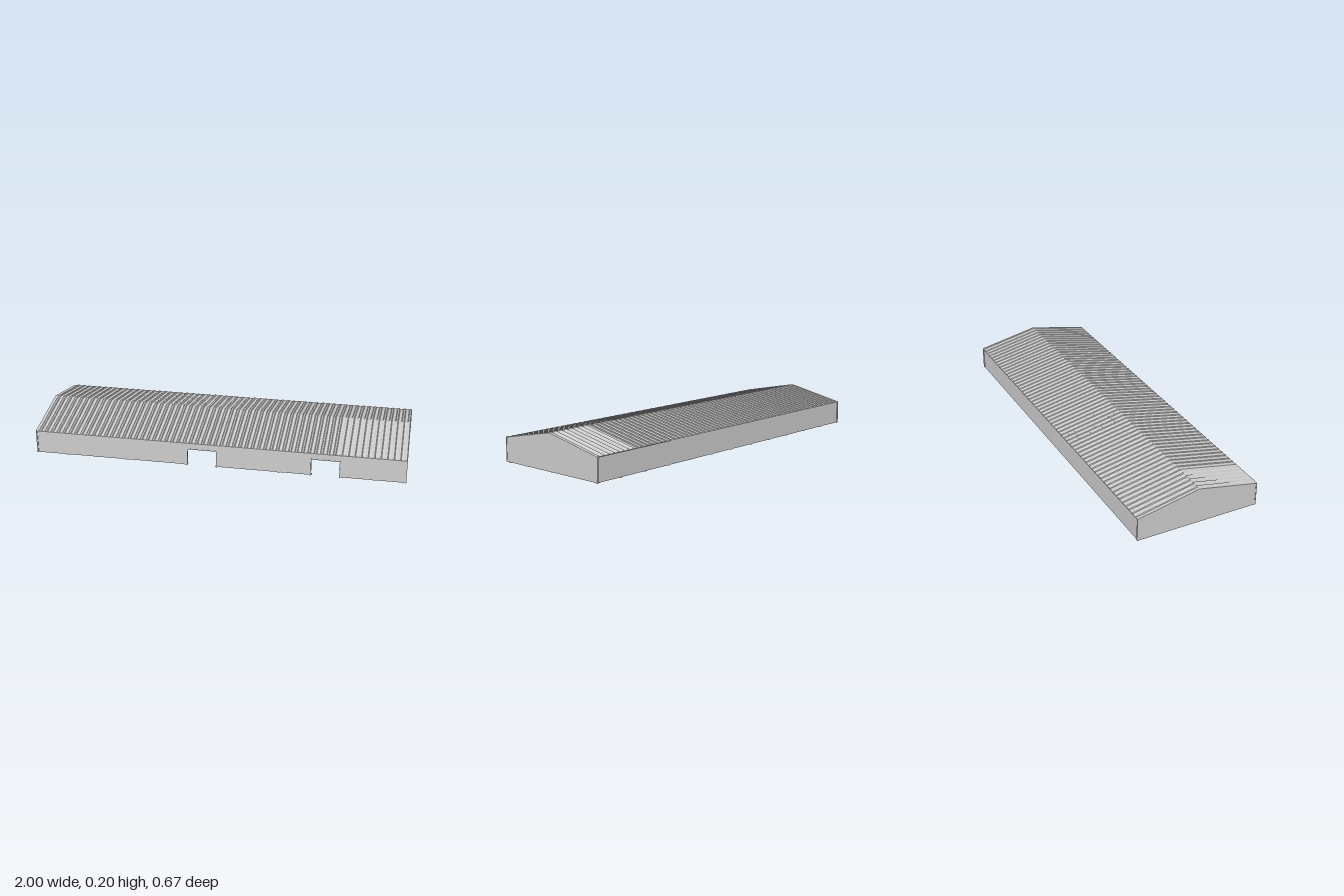
import * as THREE from 'three';

const HALF_X = 1, HALF_Z = 0.337, WALL_Z = 0.331;
const EAVE = 0.131, RIDGE = 0.2, BASE = 0.004;
const DOORS = [[-0.16, 0], [0.5, 0.655]], DOOR_TOP = 0.095;
const BAY = 1 / 6, GABLE_POSTS = [-0.17, 0, 0.17];

const grey = new THREE.MeshStandardMaterial({ color: 0xcccccc, side: THREE.DoubleSide, flatShading: true });
const roofY = z => RIDGE - (RIDGE - EAVE) * Math.abs(z) / HALF_Z;

export function createModel() {
  const model = new THREE.Group();
  model.name = 'warehouse';

  const group = name => {
    const g = new THREE.Group();
    g.name = name;
    model.add(g);
    return g;
  };
  const add = (parent, name, geometry) => {
    const mesh = new THREE.Mesh(geometry, grey);
    mesh.name = name;
    parent.add(mesh);
    return mesh;
  };
  // box given by its minimum and maximum corners
  const box = (parent, name, x0, x1, y0, y1, z0, z1) => {
    const mesh = add(parent, name, new THREE.BoxGeometry(x1 - x0, y1 - y0, z1 - z0));
    mesh.position.set((x0 + x1) / 2, (y0 + y1) / 2, (z0 + z1) / 2);
    return mesh;
  };
  const outline = points => new THREE.Shape(points.map(p => new THREE.Vector2(...p)));
  const extrude = (shape, depth) => new THREE.ExtrudeGeometry(shape, { depth, bevelEnabled: false });
  // outline drawn in (z, y), extruded along x and centred on the given x
  const crossPiece = (parent, name, points, thickness, x) => {
    const geometry = extrude(outline(points), thickness);
    geometry.translate(0, 0, -thickness / 2).rotateY(-Math.PI / 2).translate(x, 0, 0);
    return add(parent, name, geometry);
  };

  // ribbed roof sheet: trapezoid profile along x, folded at the ridge
  const ribs = 60, pitch = 2 * HALF_X / ribs, ribHeight = 0.003;
  const profile = [];
  for (let i = 0; i < ribs; i++) {
    const x = -HALF_X + i * pitch;
    profile.push([x, 0], [x + pitch * 0.5, 0], [x + pitch * 0.62, ribHeight], [x + pitch * 0.88, ribHeight]);
  }
  profile.push([HALF_X, 0]);
  const positions = [], index = [];
  profile.forEach(([x, dy], i) => {
    for (const z of [-HALF_Z, 0, HALF_Z]) positions.push(x, roofY(z) + dy, z);
    if (i === 0) return;
    for (let j = 0; j < 2; j++) {
      const a = (i - 1) * 3 + j, b = i * 3 + j;
      index.push(a, a + 1, b, b, a + 1, b + 1);
    }
  });
  const sheet = new THREE.BufferGeometry();
  sheet.setAttribute('position', new THREE.Float32BufferAttribute(positions, 3));
  sheet.setIndex(index);
  const roofGeometry = sheet.toNonIndexed();
  roofGeometry.computeVertexNormals();
  add(model, 'roofSheet', roofGeometry);

  // front wall with door notches open to the ground
  const walls = group('walls');
  const T = 0.003, X = 0.998;
  const front = [[-X, BASE]];
  for (const [l, r] of DOORS) front.push([l, BASE], [l, DOOR_TOP], [r, DOOR_TOP], [r, BASE]);
  front.push([X, BASE], [X, EAVE], [-X, EAVE]);
  add(walls, 'frontWall', extrude(outline(front), T)).position.z = WALL_Z - T / 2;
  box(walls, 'backWall', -X, X, BASE, EAVE, -WALL_Z - T / 2, -WALL_Z + T / 2);

  // gable walls
  const gable = [[-HALF_Z, BASE], [HALF_Z, BASE], [HALF_Z, EAVE], [0, RIDGE], [-HALF_Z, EAVE]];
  for (const s of [-1, 1]) crossPiece(walls, 'gableWall', gable, T, s * (HALF_X - T));

  // corner and eave trims
  const trims = group('trims');
  for (const sz of [-1, 1]) {
    const z0 = sz > 0 ? WALL_Z : -HALF_Z, z1 = sz > 0 ? HALF_Z : -WALL_Z;
    box(trims, 'eaveTrim', -HALF_X, HALF_X, EAVE - 0.004, EAVE, z0, z1);
    for (const sx of [-1, 1]) {
      const x0 = sx > 0 ? 0.993 : -HALF_X;
      box(trims, 'cornerTrim', x0, x0 + 0.007, BASE, EAVE, z0, z1);
    }
  }

  // door surrounds, and plates on the ground beside the doorways
  const doors = group('doorways');
  for (const [l, r] of DOORS) {
    const z0 = WALL_Z - 0.008, z1 = WALL_Z + 0.002;
    for (const x of [l, r]) box(doors, 'doorJamb', x - 0.002, x + 0.002, 0, DOOR_TOP, z0, z1);
    box(doors, 'doorHeader', l, r, DOOR_TOP - 0.002, DOOR_TOP + 0.003, z0, z1);
    box(doors, 'groundPlate', r + 0.005, r + 0.09, 0.002, 0.005, 0.25, 0.32);
  }

  // portal frames: wall columns, base plates, haunched rafters, ridge posts
  const frames = group('portalFrames');
  const inner = WALL_Z - 0.005;
  for (let i = 0; i <= 12; i++) {
    const x = THREE.MathUtils.clamp(-1 + i * BAY, -0.985, 0.985);
    for (const s of [-1, 1]) {
      const inDoor = s > 0 && DOORS.some(([l, r]) => x > l + 0.01 && x < r - 0.01);
      const a = s * inner, b = s * (inner - 0.014);
      if (!inDoor) {
        box(frames, 'wallColumn', x - 0.004, x + 0.004, 0, EAVE, Math.min(a, b), Math.max(a, b));
        const c = (a + b) / 2;
        box(frames, 'basePlate', x - 0.008, x + 0.008, 0, 0.003, c - 0.009, c + 0.009);
      }
      crossPiece(frames, 'rafter', [
        [a, roofY(a) - 0.005], [0, RIDGE - 0.005], [0, RIDGE - 0.018],
        [s * 0.26, roofY(0.26) - 0.017], [a, roofY(a) - 0.028],
      ], 0.006, x);
    }
    if (i % 2 === 0 && i > 0 && i < 12) {
      box(frames, 'ridgePost', x - 0.004, x + 0.004, 0, RIDGE - 0.015, -0.004, 0.004);
      box(frames, 'basePlate', x - 0.009, x + 0.009, 0, 0.003, -0.009, 0.009);
    }
  }

  // purlins under the roof
  const purlins = group('purlins');
  for (const s of [-1, 1]) {
    for (let k = 0; k < 8; k++) {
      const z = s * (0.02 + k * 0.042), y = roofY(z) - 0.002;
      box(purlins, 'purlin', -0.99, 0.99, y - 0.006, y, z - 0.002, z + 0.002);
    }
  }

  // wall girts, broken at the doorways, and gable posts
  const girts = group('girts');
  for (const y of [0.015, 0.052, 0.105]) {
    const low = y < DOOR_TOP;
    const spans = low ? [[-0.99, DOORS[0][0]], [DOORS[0][1], DOORS[1][0]], [DOORS[1][1], 0.99]] : [[-0.99, 0.99]];
    for (const [l, r] of spans) box(girts, 'frontGirt', l, r, y - 0.002, y + 0.002, inner, WALL_Z - 0.001);
    box(girts, 'backGirt', -0.99, 0.99, y - 0.002, y + 0.002, -WALL_Z + 0.001, -inner);
    for (const s of [-1, 1]) {
      box(girts, 'gableGirt', s * 0.992 - 0.003, s * 0.992 + 0.003, y - 0.002, y + 0.002, -inner, inner);
    }
  }
  for (const s of [-1, 1]) {
    for (const z of GABLE_POSTS) {
      box(girts, 'gablePost', s * 0.985 - 0.006, s * 0.985 + 0.006, 0, roofY(z) - 0.006, z - 0.004, z + 0.004);
    }
  }

  return model;
}
